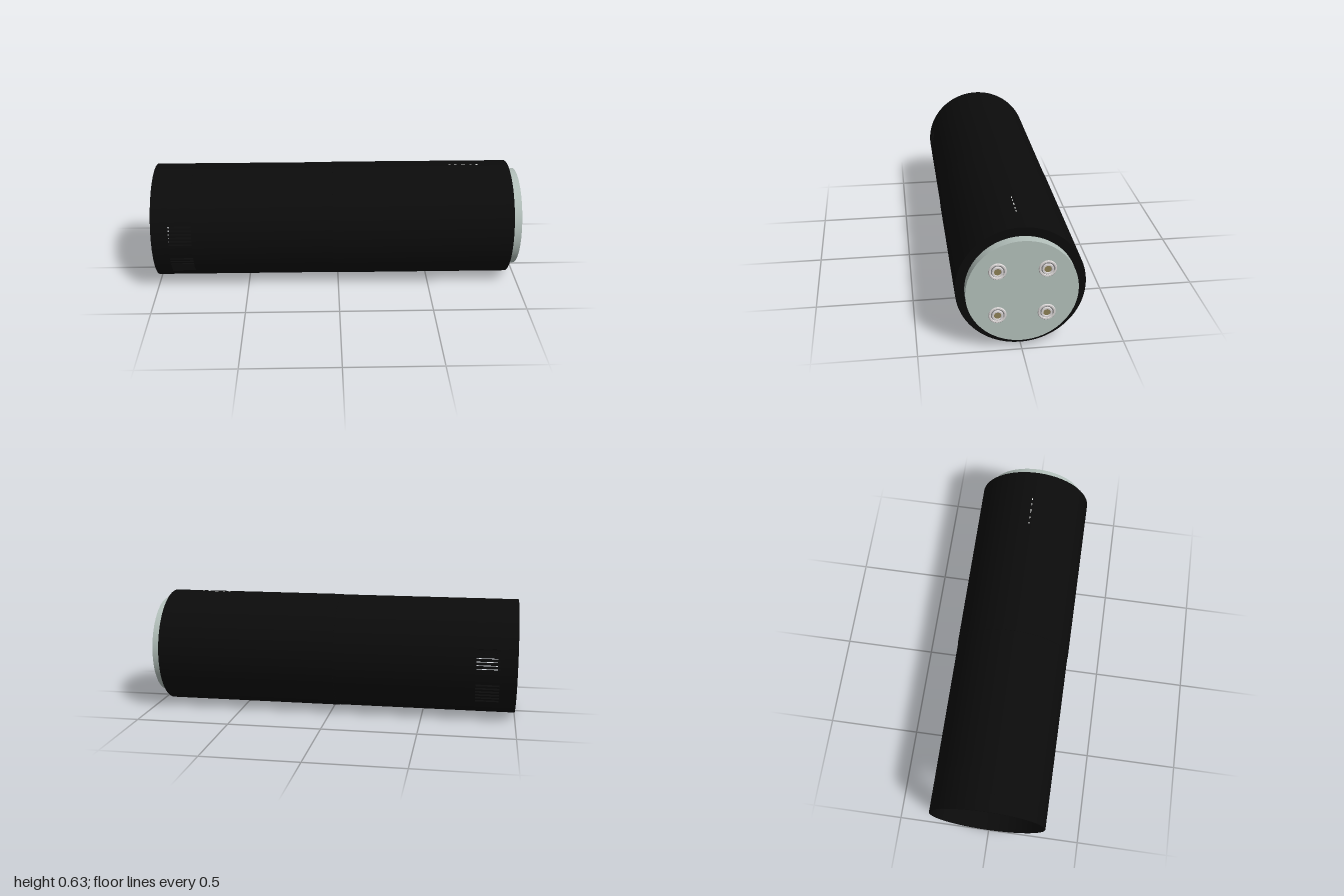
import * as THREE from 'three';
import { toCreasedNormals } from 'three/addons/utils/BufferGeometryUtils.js';

const R = 0.3125; // barrel radius, also the height of the axis
const V = (pairs) => pairs.map(([r, x]) => new THREE.Vector2(r, x));

// Revolve a (radius, x) profile about the x axis.
function turned(pairs, segments = 96) {
  const g = new THREE.LatheGeometry(V(pairs), segments);
  g.rotateZ(-Math.PI / 2);
  return toCreasedNormals(g, 0.6);
}

// Closed tube between two x positions.
const tube = (x0, x1, ro, ri) => turned([[ri, x0], [ro, x0], [ro, x1], [ri, x1], [ri, x0]]);

// Curved bar: a sector of the tube wall, running along x.
function wallSector(a0, a1, x0, x1, ro, ri) {
  const s = new THREE.Shape();
  s.absarc(0, 0, ro, a0, a1, false);
  s.absarc(0, 0, ri, a1, a0, true);
  const g = new THREE.ExtrudeGeometry(s, {
    depth: x1 - x0, bevelEnabled: false, curveSegments: Math.max(2, Math.ceil((a1 - a0) * 16)),
  });
  g.rotateY(Math.PI / 2);
  g.translate(x0, 0, 0);
  return toCreasedNormals(g, 0.6);
}

export function createModel() {
  const mat = (name, color) => {
    const m = new THREE.MeshStandardMaterial({ color });
    m.name = name;
    return m;
  };
  const black = mat('black casing', 0x0b0b0b);
  const grey = mat('pale grey green', 0xb3c0bb);
  const metal = mat('light metal', 0xd9d5d5);
  const dark = mat('groove grey', 0x77777a);
  const gold = mat('dull gold', 0x8c8055);
  const white = mat('marking white', 0xe6e8e6);

  const model = new THREE.Group();
  const body = new THREE.Group();
  body.name = 'body';
  body.position.y = R;
  model.add(body);
  const add = (name, geo, material, parent = body) => {
    const m = new THREE.Mesh(geo, material);
    m.name = name;
    parent.add(m);
    return m;
  };

  // Closed rear barrel, slightly wider than the open sleeve
  add('rearBarrel', turned([[0, -0.03], [R, -0.03], [R, 0.94], [0, 0.94]]), black);

  // Open sleeve with a band of vent slots
  const ro = 0.3105, ri = 0.302, s0 = -0.91, s1 = -0.785;
  add('sleeveRim', tube(-1, s0, ro, ri), black);
  add('sleeve', tube(s1, -0.03, ro, ri), black);
  add('sleeveFloor', turned([[0, -0.1], [ri, -0.1], [ri, -0.09], [0, -0.09]]), black);

  // Slots: two blocks of six on the front, mirrored to the back
  const slots = [];
  for (const low of [-0.195, -0.005]) {
    for (let i = 0; i < 6; i++) {
      const y = low + i * 0.0196;
      const a = Math.asin((y - 0.005) / ro), b = Math.asin((y + 0.005) / ro);
      slots.push([a, b], [Math.PI - b, Math.PI - a]);
    }
  }
  slots.sort((p, q) => p[0] - q[0]);
  const vents = new THREE.Group();
  vents.name = 'ventBand';
  body.add(vents);
  slots.forEach((slot, i) => {
    const end = i + 1 < slots.length ? slots[i + 1][0] : slots[0][0] + Math.PI * 2;
    add('ventBar', wallSector(slot[1], end, s0, s1, ro, ri), black, vents);
  });

  // End plate
  add('endPlate', turned([[0.268, 0.93], [0.268, 0.99], [0, 0.99]]), grey);

  // Four round sockets on the end plate
  const collar = turned([[0.043, 0.985], [0.043, 0.992], [0.04, 0.996], [0.034, 0.996], [0.031, 0.992], [0.031, 0.985]], 40);
  const groove = turned([[0.031, 0.991], [0.025, 0.991]], 40);
  const core = turned([[0.0275, 0.985], [0.0275, 0.998], [0.026, 1], [0.019, 1], [0.017, 0.998], [0.017, 0.99]], 40);
  const contact = turned([[0.017, 0.995], [0, 0.995]], 40);
  for (const y of [-0.1175, 0.1175]) {
    for (const z of [-0.1175, 0.1175]) {
      const socket = new THREE.Group();
      socket.name = 'socket';
      socket.position.set(0, y, z);
      body.add(socket);
      add('socketCollar', collar, metal, socket);
      add('socketGroove', groove, dark, socket);
      add('socketCore', core, metal, socket);
      add('socketContact', contact, gold, socket);
    }
  }

  // Row of small dashes on top of the barrel
  for (const [x, w] of [[0.618, 0.01], [0.65, 0.012], [0.693, 0.02], [0.735, 0.012], [0.768, 0.012]]) {
    add('topDash', new THREE.BoxGeometry(w, 0.004, 0.005), white).position.set(x, R, 0);
  }
  return model;
}
